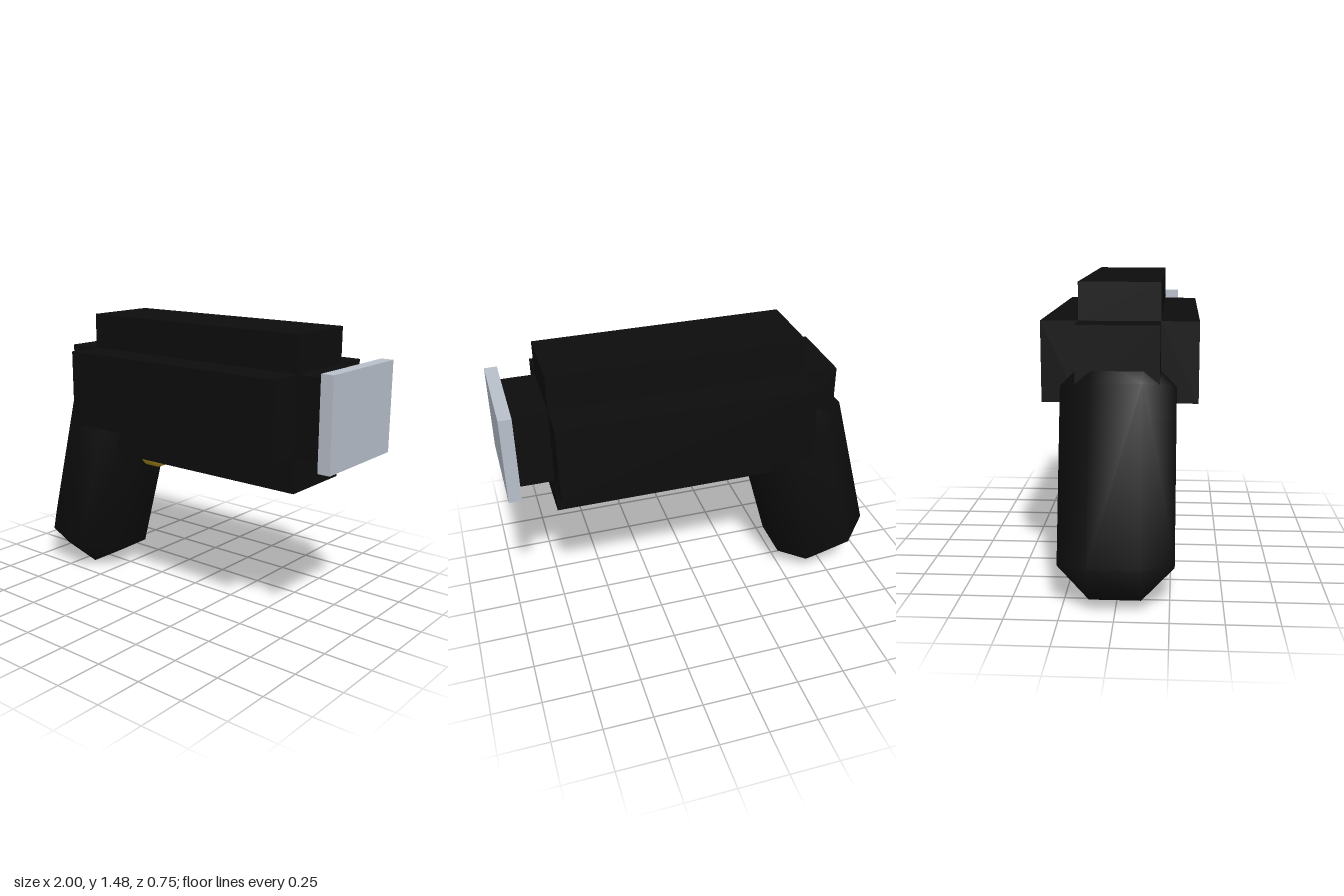
import * as THREE from 'three';
import { mergeVertices } from 'three/addons/utils/BufferGeometryUtils.js';
import { ConvexGeometry } from 'three/addons/geometries/ConvexGeometry.js';

// Box with every edge cut by one chamfer, shaded softly across the cuts
function chamferedBox(w, h, d, c) {
  const points = [];
  const half = [w / 2, h / 2, d / 2];
  for (const sx of [-1, 1]) for (const sy of [-1, 1]) for (const sz of [-1, 1]) {
    for (let axis = 0; axis < 3; axis++) {
      const p = half.map((v, i) => (i === axis ? v : v - c));
      points.push(new THREE.Vector3(p[0] * sx, p[1] * sy, p[2] * sz));
    }
  }
  const geo = new ConvexGeometry(points);
  geo.deleteAttribute('normal');
  const merged = mergeVertices(geo, 1e-4);
  merged.computeVertexNormals();
  return merged;
}

// Box given by its extents along x and y and its half depth
function boxBetween(x0, x1, y0, y1, halfZ) {
  return new THREE.BoxGeometry(x1 - x0, y1 - y0, halfZ * 2)
    .translate((x0 + x1) / 2, (y0 + y1) / 2, 0);
}

export function createModel() {
  const group = new THREE.Group();
  const material = (name, color) => new THREE.MeshStandardMaterial({ name, color });
  const black = material('black', 0x0d0d0d);
  const silver = material('silver', 0xb9c0cb);
  const gold = material('gold', 0xb8961f);

  const add = (name, geo, mat) => {
    const mesh = new THREE.Mesh(geo, mat);
    mesh.name = name;
    group.add(mesh);
    return mesh;
  };

  // Main housing: a plus-shaped section running along x
  const section = new THREE.Shape();
  const inner = 0.195, outer = 0.376;
  [
    [-inner, 0.73], [inner, 0.73], [inner, 0.91], [outer, 0.91],
    [outer, 1.302], [inner, 1.302], [inner, 1.484], [-inner, 1.484],
    [-inner, 1.302], [-outer, 1.302], [-outer, 0.91], [-inner, 0.91],
  ].forEach(([z, y], i) => (i ? section.lineTo(z, y) : section.moveTo(z, y)));
  section.closePath();
  const housing = new THREE.ExtrudeGeometry(section, { depth: 1.295, bevelEnabled: false })
    .rotateY(Math.PI / 2)
    .translate(-0.533, 0, 0);
  add('housing', housing, black);

  // Core sticking out at both ends, and the plate on its muzzle end
  add('rearBlock', boxBetween(-0.713, -0.5, 0.91, 1.302, inner), black);
  add('muzzleNeck', boxBetween(0.73, 0.94, 0.91, 1.302, inner), black);
  add('muzzlePlate', boxBetween(0.936, 1, 0.88, 1.335, 0.272), silver);

  // Leaning grip
  const grip = add('grip', chamferedBox(0.532, 1.134, 0.544, 0.152), black);
  grip.position.set(-0.639, 0.58, 0);
  grip.rotation.z = -Math.PI / 12;

  // Trigger stud under the housing
  const trigger = add('trigger', chamferedBox(0.18, 0.18, 0.21, 0.045), gold);
  trigger.position.set(-0.26, 0.745, 0);

  return group;
}
